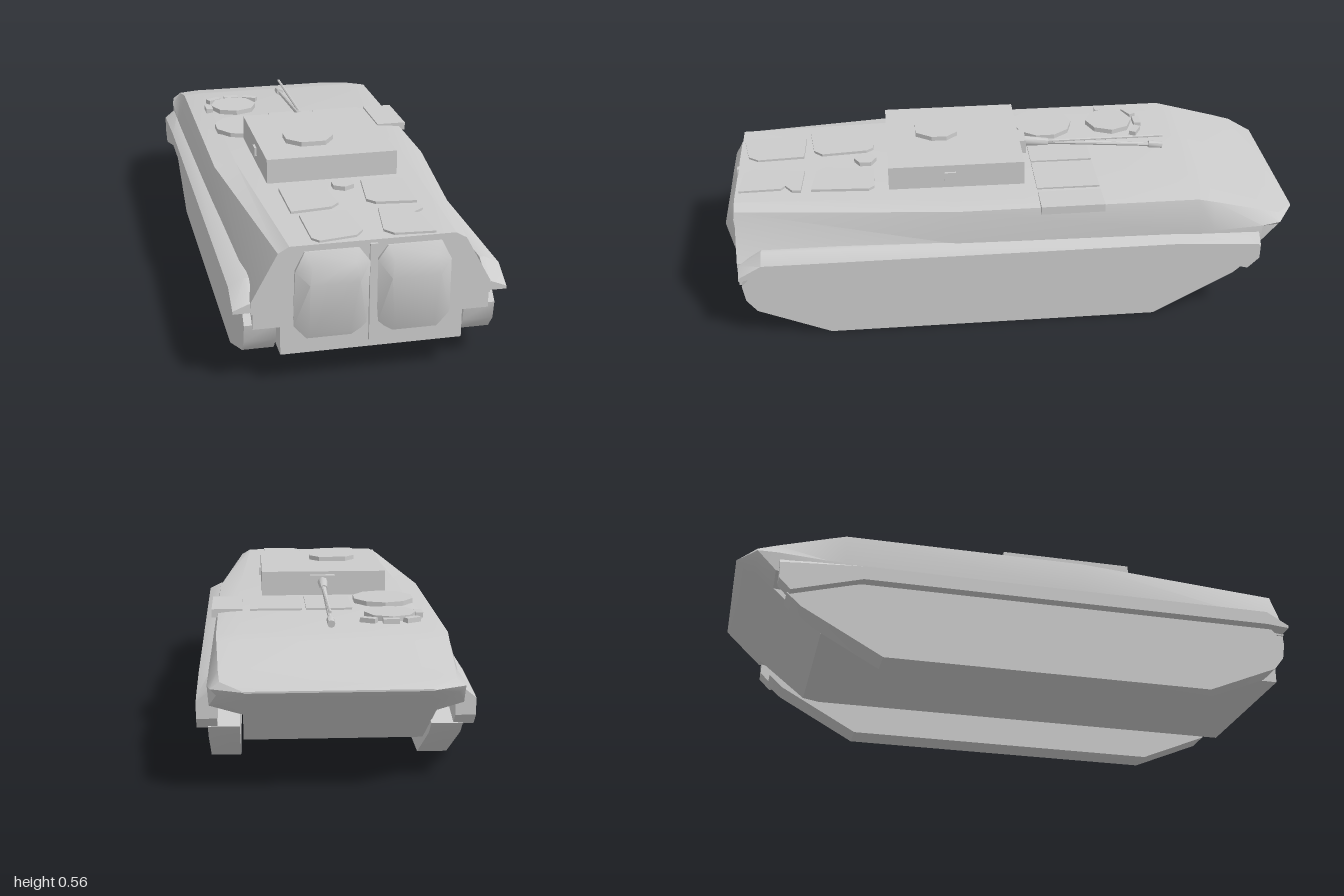
import * as THREE from 'three';
import { toCreasedNormals } from 'three/addons/utils/BufferGeometryUtils.js';
import { ConvexGeometry } from 'three/addons/geometries/ConvexGeometry.js';

const grey = new THREE.MeshStandardMaterial({ color: 0xcccccc });
const crease = (g, angle = 0.5) => toCreasedNormals(g.index ? g.toNonIndexed() : g, angle);

// Skin closed rings of [x, y], counter-clockwise seen from +z, ordered from +z to -z
function loft(sections) {
  const pos = [];
  const put = (...pts) => pts.forEach((p) => pos.push(...p));
  const rings = sections.map(({ z, ring }) => ring.map(([x, y]) => [x, y, z]));
  for (let i = 0; i < rings.length - 1; i++) {
    const A = rings[i], B = rings[i + 1];
    A.forEach((a, j) => {
      const k = (j + 1) % A.length;
      put(a, B[j], A[k], A[k], B[j], B[k]);
    });
  }
  const cap = (ring, flip) => {
    const flat = ring.map(([x, y]) => new THREE.Vector2(x, y));
    for (const [a, b, c] of THREE.ShapeUtils.triangulateShape(flat, [])) {
      if (flip) put(ring[a], ring[c], ring[b]);
      else put(ring[a], ring[b], ring[c]);
    }
  };
  cap(rings[0], false);
  cap(rings[rings.length - 1], true);
  const g = new THREE.BufferGeometry();
  g.setAttribute('position', new THREE.Float32BufferAttribute(pos, 3));
  return crease(g);
}

const mirrorRing = (half) => half.map(([x, y]) => [-x, y]).reverse();

export function createModel() {
  const root = new THREE.Group();
  const add = (name, geometry, x = 0, y = 0, z = 0) => {
    const m = new THREE.Mesh(geometry, grey);
    m.name = name;
    m.position.set(x, y, z);
    root.add(m);
    return m;
  };
  const box = (name, x0, x1, y0, y1, z0, z1) =>
    add(name, new THREE.BoxGeometry(x1 - x0, y1 - y0, z1 - z0), (x0 + x1) / 2, (y0 + y1) / 2, (z0 + z1) / 2);
  // Flat plate from an [x, z] outline, lying between two heights
  const plate = (name, outline, y0, y1) => {
    const s = new THREE.Shape(outline.map(([x, z]) => new THREE.Vector2(x, -z)));
    const g = new THREE.ExtrudeGeometry(s, { depth: y1 - y0, bevelEnabled: false });
    return add(name, g.rotateX(-Math.PI / 2), 0, y0, 0);
  };
  const rod = (name, a, b, r0, r1, sides = 8) => {
    const p = new THREE.Vector3(...a), d = new THREE.Vector3(...b).sub(p);
    const m = add(name, crease(new THREE.CylinderGeometry(r1, r0, d.length(), sides), 1));
    m.position.copy(p).addScaledVector(d, 0.5);
    m.quaternion.setFromUnitVectors(new THREE.Vector3(0, 1, 0), d.normalize());
    return m;
  };

  // Hull: half sections run from the belly edge to the deck edge
  const hull = [
    [0.955, [[0.29, 0.105], [0.29, 0.25], [0.38, 0.25], [0.38, 0.29], [0.295, 0.445], [0.26, 0.465]]],
    [0.2, [[0.29, 0.105], [0.29, 0.25], [0.385, 0.25], [0.39, 0.33], [0.375, 0.45], [0.3, 0.46]]],
    [-0.64, [[0.29, 0.105], [0.29, 0.25], [0.39, 0.25], [0.4, 0.335], [0.375, 0.45], [0.3, 0.455]]],
    [-0.7, [[0.29, 0.115], [0.29, 0.25], [0.39, 0.25], [0.4, 0.335], [0.372, 0.435], [0.3, 0.44]]],
    [-0.87, [[0.29, 0.25], [0.31, 0.255], [0.395, 0.28], [0.4, 0.345], [0.365, 0.39], [0.3, 0.393]]],
    [-0.935, [[0.29, 0.303], [0.32, 0.31], [0.37, 0.33], [0.39, 0.35], [0.36, 0.372], [0.3, 0.374]]],
    [-1, [[0.28, 0.352], [0.284, 0.352], [0.287, 0.353], [0.29, 0.355], [0.287, 0.357], [0.28, 0.358]]],
  ];
  add('hull', loft(hull.map(([z, half]) => ({ z, ring: [...half, ...mirrorRing(half)] }))));

  // Running gear: solid tracks under side fenders that droop at the nose
  const side = [[0.65, 0], [0.9, 0.105], [0.935, 0.15], [0.945, 0.21], [0.9, 0.26], [-0.58, 0.26],
    [-0.7, 0.235], [-0.83, 0.2], [-0.78, 0.155], [-0.5, 0]];
  const fender = [
    [0.95, 0.285, 0.265, 0.255],
    [0.87, 0.335, 0.31, 0.262],
    [-0.58, 0.335, 0.31, 0.262],
    [-0.82, 0.33, 0.295, 0.195],
    [-0.86, 0.33, 0.29, 0.235],
  ];
  for (const s of [-1, 1]) {
    const name = s > 0 ? 'left' : 'right';
    const shape = new THREE.Shape(side.map(([z, y]) => new THREE.Vector2(-z, y)));
    const g = new THREE.ExtrudeGeometry(shape, { depth: 0.1, bevelEnabled: false });
    add(name + 'Track', crease(g.rotateY(Math.PI / 2)), s > 0 ? 0.3 : -0.4);
    add(name + 'Fender', loft(fender.map(([z, top, outer, low]) => {
      const ring = [[0.37, low], [0.435, low], [0.435, outer], [0.385, top], [0.37, top]];
      return { z, ring: s > 0 ? ring : mirrorRing(ring) };
    })));
    box(name + 'RearFlap', s > 0 ? 0.28 : -0.375, s > 0 ? 0.375 : -0.28, 0.2, 0.27, 0.92, 0.955);

    // Bulged rear door with chamfered corners
    const outline = [[0.015, 0.17], [0.06, 0.125], [0.22, 0.125], [0.25, 0.19], [0.245, 0.385],
      [0.215, 0.445], [0.045, 0.445], [0.012, 0.4]];
    const pts = [];
    for (const [x, y] of outline) {
      const lean = y > 0.34 ? 0.972 - (y - 0.34) * 0.1 : 0.972 - (0.34 - y) * 0.13;
      pts.push(new THREE.Vector3(s * x, y, 0.9), new THREE.Vector3(s * x, y, lean));
    }
    for (const [x, y, z] of [[0.05, 0.35, 1], [0.205, 0.35, 1], [0.06, 0.41, 0.985], [0.195, 0.41, 0.985],
      [0.07, 0.17, 0.962], [0.2, 0.17, 0.962]]) pts.push(new THREE.Vector3(s * x, y, z));
    add(name + 'RearDoor', crease(new ConvexGeometry(pts), 0.7));
  }
  box('doorPost', -0.012, 0.012, 0.13, 0.455, 0.93, 0.965);

  // Turret with side lugs and an eight-sided cupola
  box('turret', -0.23, 0.22, 0.45, 0.546, -0.05, 0.425);
  for (const x of [-0.23, 0.22]) box('turretLug', x - 0.008, x + 0.008, 0.49, 0.52, 0.19, 0.23);
  plate('cupola', [[-0.135, 0.21], [-0.1, 0.17], [0, 0.17], [0.035, 0.21], [0.033, 0.265],
    [-0.005, 0.32], [-0.09, 0.32], [-0.135, 0.275]], 0.54, 0.562);

  // Gun, its mount and the parallel rod above it
  box('gunMount', -0.045, 0.045, 0.485, 0.535, -0.075, -0.04);
  rod('gunSleeve', [0, 0.513, -0.06], [0, 0.503, -0.16], 0.019, 0.014);
  rod('gunBarrel', [0, 0.505, -0.14], [0, 0.47, -0.56], 0.009, 0.007);
  rod('muzzle', [0, 0.473, -0.535], [0, 0.468, -0.585], 0.013, 0.013);
  rod('upperRod', [0.004, 0.508, -0.1], [0.004, 0.508, -0.585], 0.005, 0.005, 6);

  // Round crew hatches and the periscopes around the forward one
  const disc = (name, x, z, r, y0, y1, sides) =>
    add(name, crease(new THREE.CylinderGeometry(r, r, y1 - y0, sides)), x, (y0 + y1) / 2, z);
  disc('driverHatch', -0.21, -0.42, 0.088, 0.445, 0.474, 8);
  disc('commanderHatch', -0.21, -0.165, 0.11, 0.445, 0.474, 10);
  disc('deckVent', 0.01, 0.505, 0.04, 0.45, 0.477, 6);
  for (const [x, z, turn] of [[-0.308, -0.41, Math.PI / 2], [-0.275, -0.508, 0.5],
    [-0.203, -0.527, 0], [-0.13, -0.508, -0.5]]) {
    const p = add('periscope', new THREE.BoxGeometry(0.055, 0.024, 0.026), x, 0.46, z);
    p.rotation.y = turn;
  }

  // Engine deck panels
  for (const [x0, x1] of [[-0.09, 0.07], [0.085, 0.265], [0.29, 0.397]])
    box('enginePanel', x0, x1, 0.435, 0.464, -0.31, -0.09);

  // Chamfered roof hatches over the troop bay
  const roof = [
    [[-0.205, 0.5], [-0.185, 0.475], [-0.075, 0.475], [-0.055, 0.5], [-0.04, 0.66], [-0.07, 0.69], [-0.205, 0.705]],
    [[0.08, 0.475], [0.205, 0.475], [0.222, 0.495], [0.212, 0.695], [0.08, 0.68], [0.055, 0.65]],
    [[-0.185, 0.735], [-0.165, 0.72], [-0.03, 0.725], [-0.018, 0.89], [-0.045, 0.925], [-0.165, 0.945], [-0.185, 0.92]],
    [[0.075, 0.72], [0.215, 0.73], [0.212, 0.76], [0.175, 0.785], [0.195, 0.8], [0.2, 0.945], [0.07, 0.935], [0.045, 0.9]],
  ];
  for (const outline of roof) plate('roofHatch', outline, 0.45, 0.472);

  return root;
}
